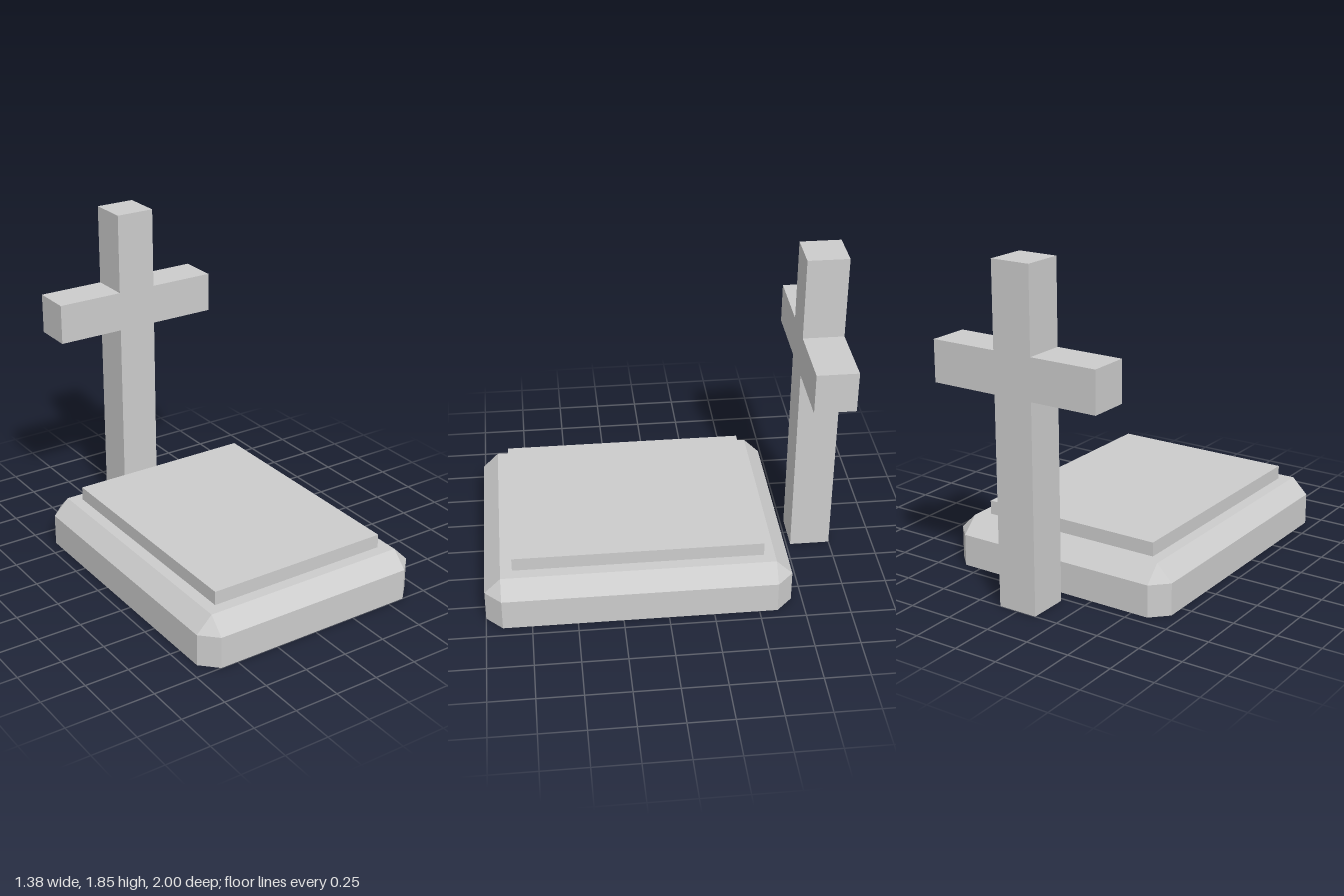
import * as THREE from 'three';

const stone = new THREE.MeshStandardMaterial({ color: 0xcccccc, side: THREE.DoubleSide });
stone.name = 'grey stone';

// Leaves a solid open underneath by removing its downward faces
function openBelow(geometry) {
  const source = geometry.index ? geometry.toNonIndexed() : geometry;
  const p = source.attributes.position;
  const kept = [];
  const tri = new THREE.Triangle();
  const n = new THREE.Vector3();
  for (let i = 0; i < p.count; i += 3) {
    tri.setFromAttributeAndIndices(p, i, i + 1, i + 2);
    tri.getNormal(n);
    if (n.y > -0.5) for (const v of [tri.a, tri.b, tri.c]) kept.push(v.x, v.y, v.z);
  }
  return flatGeometry(kept);
}

function flatGeometry(positions) {
  const g = new THREE.BufferGeometry();
  g.setAttribute('position', new THREE.Float32BufferAttribute(positions, 3));
  g.computeVertexNormals();
  return g;
}

// Plinth shell: chamfered upright walls, sloping bevel and flat top
function plinthGeometry() {
  const outerX = 0.69, outerZ = 0.845, cut = 0.09, wallTop = 0.18, top = 0.27;
  const innerX = outerX - cut, innerZ = outerZ - cut;
  const ring = [], corners = [];
  for (const [sx, sz] of [[1, -1], [-1, -1], [-1, 1], [1, 1]]) {
    const pair = [[sx * outerX, sz * innerZ], [sx * innerX, sz * outerZ]];
    if (sx * sz > 0) pair.reverse();
    const corner = [sx * innerX, top, sz * innerZ];
    corners.push(corner);
    for (const [x, z] of pair) ring.push({ x, z, corner });
  }
  const out = [];
  const face = (...pts) => {
    for (let i = 1; i < pts.length - 1; i++) out.push(...pts[0], ...pts[i], ...pts[i + 1]);
  };
  ring.forEach((a, i) => {
    const b = ring[(i + 1) % ring.length];
    const a1 = [a.x, wallTop, a.z], b1 = [b.x, wallTop, b.z];
    face([a.x, 0, a.z], [b.x, 0, b.z], b1, a1);
    if (a.corner === b.corner) face(a1, b1, a.corner);
    else face(a1, b1, b.corner, a.corner);
  });
  face(...corners);
  return flatGeometry(out);
}

// Cross: one outline extruded to its depth
function crossGeometry() {
  const post = 0.114, arm = 0.5, low = 1.157, high = 1.387, top = 1.85;
  const half = [[post, 0], [post, low], [arm, low], [arm, high], [post, high], [post, top]];
  const outline = [...half, ...half.map(([x, y]) => [-x, y]).reverse()];
  const shape = new THREE.Shape(outline.map(([x, y]) => new THREE.Vector2(x, y)));
  return openBelow(new THREE.ExtrudeGeometry(shape, { depth: 0.227, bevelEnabled: false }));
}

export function createModel() {
  const model = new THREE.Group();
  model.name = 'graveMonument';
  const add = (name, geometry, x, y, z) => {
    const mesh = new THREE.Mesh(geometry, stone);
    mesh.name = name;
    mesh.position.set(x, y, z);
    model.add(mesh);
  };
  add('plinth', plinthGeometry(), 0, 0, 0.155);
  add('coverSlab', openBelow(new THREE.BoxGeometry(1.07, 0.078, 1.384)), 0, 0.309, 0.153);
  add('cross', crossGeometry(), 0, 0, -1);
  return model;
}
